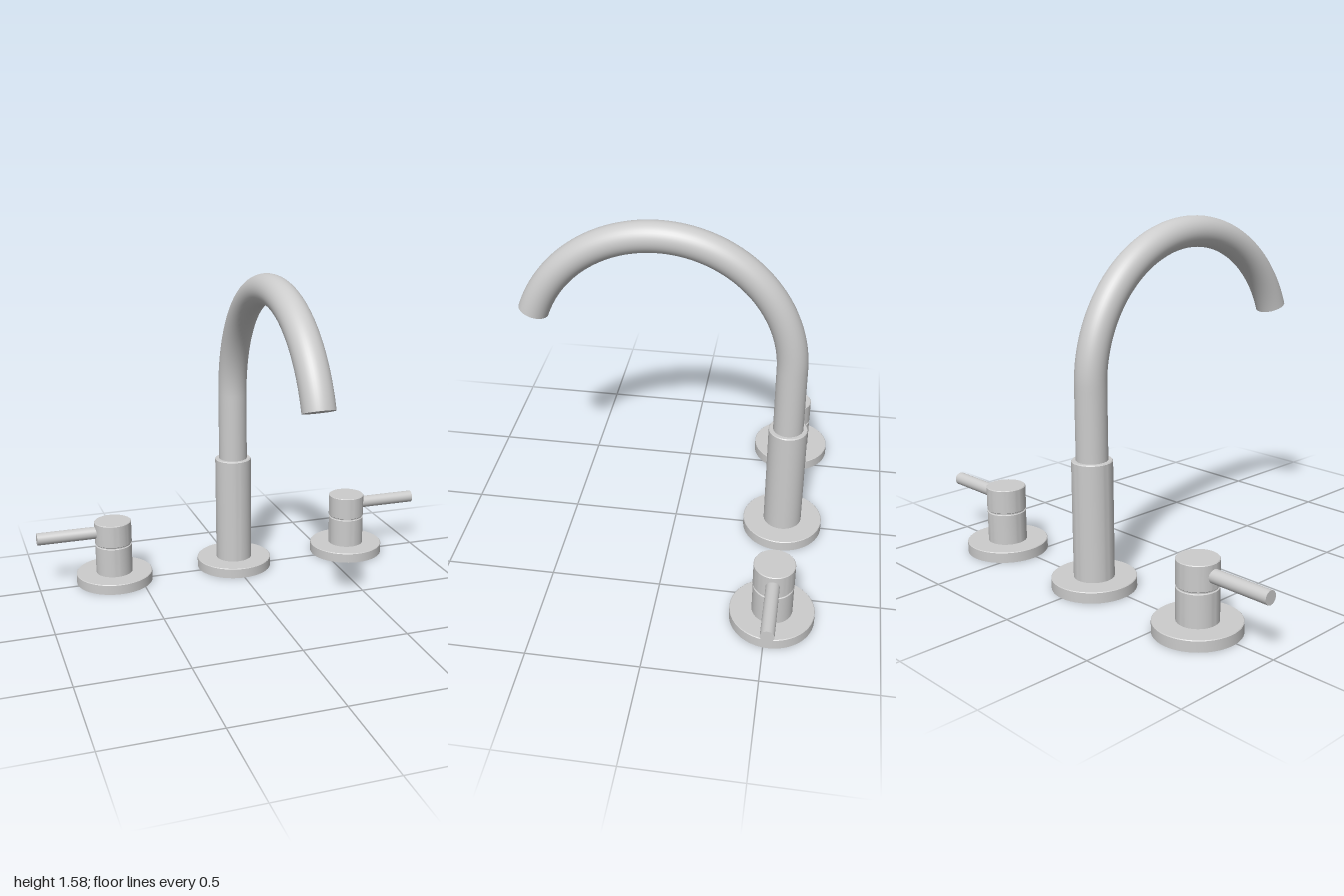
import * as THREE from 'three';
import { toCreasedNormals } from 'three/addons/utils/BufferGeometryUtils.js';

const AXIS_Z = -0.523;   // all three fittings stand on this line
const HANDLE_X = 0.626;

const grey = new THREE.MeshStandardMaterial({ color: 0xcccccc });
const greyOpen = new THREE.MeshStandardMaterial({ color: 0xcccccc, side: THREE.DoubleSide });

function add(parent, name, geometry, material = grey) {
  const mesh = new THREE.Mesh(geometry, material);
  mesh.name = name;
  parent.add(mesh);
  return mesh;
}

// Turned part from [radius, height] pairs, listed bottom to top
function turned(profile) {
  const points = profile.map(([r, y]) => new THREE.Vector2(r, y));
  return toCreasedNormals(new THREE.LatheGeometry(points, 64), 0.5);
}

// Flat escutcheon, open underneath
function addBasePlate(parent) {
  add(parent, 'basePlate', turned([[0.188, 0], [0.188, 0.047], [0.185, 0.05], [0, 0.05]]), greyOpen);
}

// Semicircular gooseneck: straight riser, then an arc past the top
class GooseneckCurve extends THREE.Curve {
  constructor() {
    super();
    this.radius = 0.602;
    this.startY = 0.5;
    this.centreY = 0.907;
    this.sweep = THREE.MathUtils.degToRad(160.5);
    this.riser = this.centreY - this.startY;
    this.total = this.riser + this.radius * this.sweep;
  }
  getPoint(t, target = new THREE.Vector3()) {
    const s = t * this.total;
    if (s < this.riser) return target.set(0, this.startY + s, 0);
    const a = (s - this.riser) / this.radius;
    return target.set(0, this.centreY + this.radius * Math.sin(a), this.radius * (1 - Math.cos(a)));
  }
}

function createSpout() {
  const spout = new THREE.Group();
  spout.name = 'spout';
  addBasePlate(spout);
  add(spout, 'spoutBody', turned([[0.09, 0.05], [0.09, 0.576], [0.086, 0.58], [0, 0.58]]));

  const curve = new GooseneckCurve();
  add(spout, 'gooseneck', new THREE.TubeGeometry(curve, 96, 0.07, 40, false), greyOpen);

  // Outlet face closing the end of the pipe
  const outlet = add(spout, 'outlet', new THREE.CircleGeometry(0.07, 40));
  outlet.position.copy(curve.getPoint(1));
  outlet.quaternion.setFromUnitVectors(new THREE.Vector3(0, 0, 1), curve.getTangent(1));
  return spout;
}

// side is +1 for the left handle and -1 for the right one
function createHandle(side) {
  const handle = new THREE.Group();
  handle.name = side > 0 ? 'leftHandle' : 'rightHandle';
  addBasePlate(handle);
  add(handle, 'valveBody', turned([[0.09, 0.05], [0.09, 0.193], [0.086, 0.196], [0, 0.196]]));
  add(handle, 'groove', new THREE.CylinderGeometry(0.085, 0.085, 0.02, 64)).position.y = 0.2;
  add(handle, 'knob', turned([[0, 0.202], [0.088, 0.202], [0.091, 0.205], [0.091, 0.312], [0.088, 0.315], [0, 0.315]]));

  // Lever pointing outwards
  const length = 1 - HANDLE_X - 0.04;
  const lever = add(handle, 'lever', new THREE.CylinderGeometry(0.03, 0.03, length, 32));
  lever.rotation.z = Math.PI / 2;
  lever.position.set(side * (0.04 + length / 2), 0.262, 0);
  handle.position.x = side * HANDLE_X;
  return handle;
}

export function createModel() {
  const faucet = new THREE.Group();
  faucet.name = 'faucet';
  faucet.add(createSpout(), createHandle(1), createHandle(-1));
  for (const part of faucet.children) part.position.z = AXIS_Z;
  return faucet;
}
